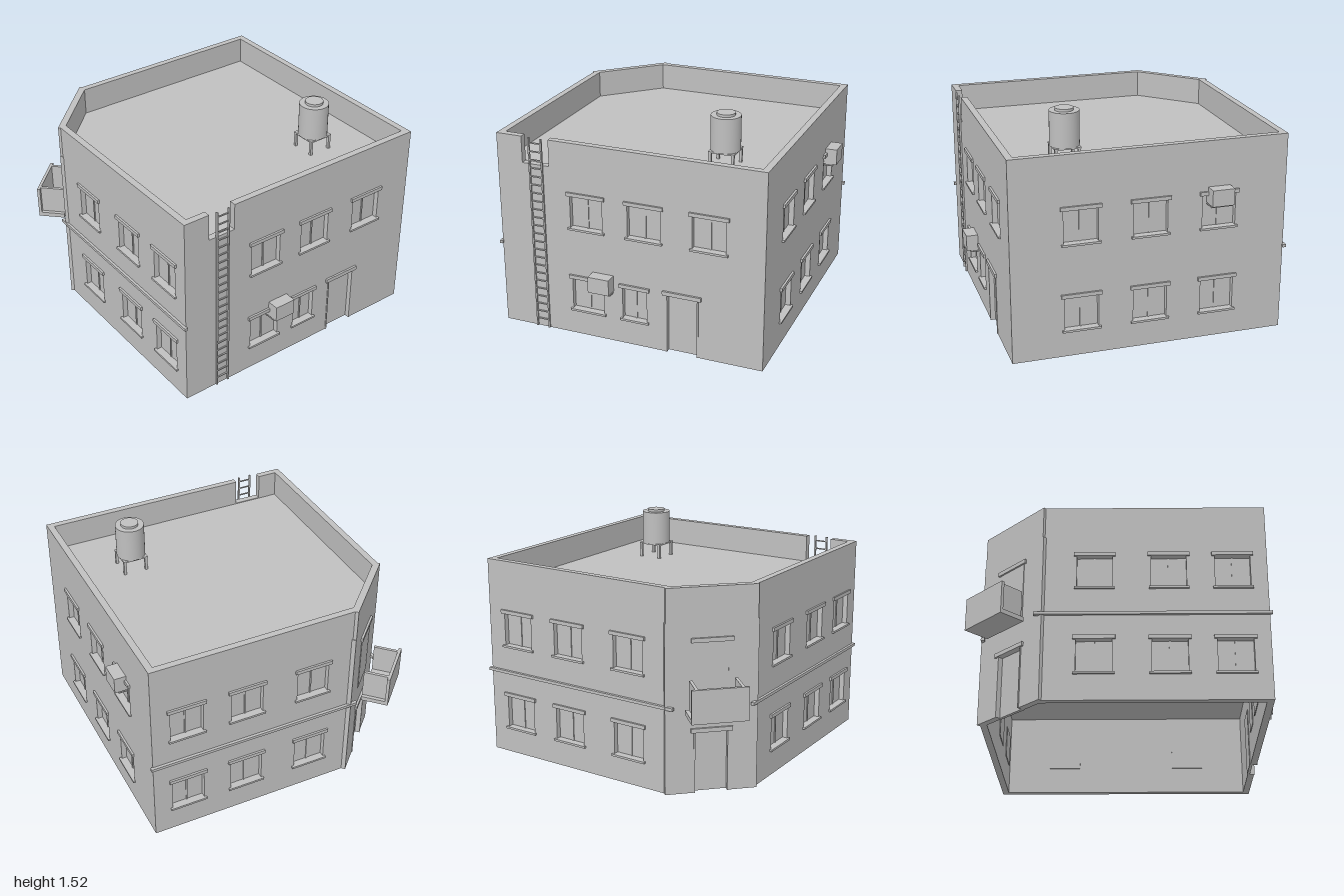
import * as THREE from 'three';

const grey = new THREE.MeshStandardMaterial({ color: 0xc0c0c0 });
grey.name = 'concreteGrey';

const TOP = 1.35, ROOF = 1.165, FLOOR = 0.59, THICK = 0.045;

function add(parent, name, geometry) {
  const mesh = new THREE.Mesh(geometry, grey);
  mesh.name = name;
  parent.add(mesh);
  return mesh;
}

// Box given by its limits on each axis
function box(parent, name, x0, x1, y0, y1, z0, z1) {
  const g = new THREE.BoxGeometry(x1 - x0, y1 - y0, z1 - z0);
  g.translate((x0 + x1) / 2, (y0 + y1) / 2, (z0 + z1) / 2);
  return add(parent, name, g);
}

// Wall frame: local x runs along the wall, local z points outwards, the outer face is z = 0
function wallFrame(root, name, x, z, angle) {
  const g = new THREE.Group();
  g.name = name;
  g.position.set(x, 0, z);
  g.rotation.y = angle;
  root.add(g);
  return g;
}

// Wall with window holes, door cuts from the ground and an optional gap in the parapet
function wall(parent, x0, x1, windows, doors = [], gap = null) {
  const pts = [[x0, 0]];
  for (const [a, b, , top] of doors) pts.push([a, 0], [a, top], [b, top], [b, 0]);
  pts.push([x1, 0], [x1, TOP]);
  if (gap) pts.push([gap[1], TOP], [gap[1], gap[2]], [gap[0], gap[2]], [gap[0], TOP]);
  pts.push([x0, TOP]);
  const shape = new THREE.Shape(pts.map(p => new THREE.Vector2(...p)));
  for (const [a, b, c, d] of windows) {
    shape.holes.push(new THREE.Path([[a, c], [a, d], [b, d], [b, c]].map(p => new THREE.Vector2(...p))));
  }
  const geo = new THREE.ExtrudeGeometry(shape, { depth: THICK, bevelEnabled: false });
  geo.translate(0, 0, -THICK);
  add(parent, 'wall', geo);
  windows.forEach(w => windowParts(parent, w));
  doors.forEach(d => doorParts(parent, d));
}

function windowParts(parent, [a, b, c, d]) {
  const m = (a + b) / 2;
  box(parent, 'windowPane', a, b, c, d, -0.05, -0.035);
  box(parent, 'windowMullion', m - 0.005, m + 0.005, c, d, -0.035, -0.029);
  box(parent, 'windowLintel', a - 0.02, b + 0.02, d, d + 0.025, -0.01, 0.014);
  box(parent, 'windowSill', a - 0.015, b + 0.015, c - 0.014, c, -0.03, 0.016);
}

function doorParts(parent, [a, b, c, d]) {
  box(parent, 'doorLeaf', a, b, c, d, -0.05, -0.03);
  for (const x of [a, b]) box(parent, 'doorJamb', x - 0.005, x + 0.005, c, d, -0.03, 0.004);
  box(parent, 'doorLintel', a - 0.025, b + 0.025, d, d + 0.028, -0.01, 0.014);
}

// Both storeys of windows at the given centres
function twoRows(centres, w = 0.225) {
  return centres.flatMap(u => [0.185, 0.77].map(y => [u - w / 2, u + w / 2, y, y + 0.221]));
}

function airConditioner(parent, x, y) {
  const g = new THREE.Group();
  g.name = 'airConditioner';
  g.position.set(x, y, 0);
  parent.add(g);
  box(g, 'unitCase', -0.074, 0.074, 0.01, 0.12, -0.03, 0.08);
  box(g, 'unitShelf', -0.072, 0.072, -0.004, 0.002, -0.03, 0.055);
  for (const s of [-0.06, 0.06]) box(g, 'unitBracket', s - 0.005, s + 0.005, -0.002, 0.01, 0, 0.05);
}

// Horizontal slab following the footprint with its cut corner
function slab(root, name, y0, y1) {
  const pts = [[-0.88, -0.9], [0.9, -0.9], [0.9, 0.88], [-0.51, 0.88], [-0.88, 0.51]];
  const shape = new THREE.Shape(pts.map(p => new THREE.Vector2(...p)));
  const geo = new THREE.ExtrudeGeometry(shape, { depth: y1 - y0, bevelEnabled: false });
  geo.rotateX(-Math.PI / 2);
  geo.translate(0, y0, 0);
  add(root, name, geo);
}

function ladder(parent) {
  const g = new THREE.Group();
  g.name = 'ladder';
  parent.add(g);
  for (const x of [-0.675, -0.587]) box(g, 'ladderRail', x - 0.005, x + 0.005, 0, TOP, -0.002, 0.012);
  for (let i = 1; i <= 23; i++) {
    const y = i * 0.0572;
    box(g, 'ladderRung', -0.672, -0.59, y - 0.004, y + 0.004, 0.001, 0.009);
  }
}

function balcony(parent) {
  const g = new THREE.Group();
  g.name = 'balcony';
  parent.add(g);
  box(g, 'balconyFloor', -0.18, 0.18, 0.55, 0.58, 0.043, 0.226);
  box(g, 'balconyFront', -0.18, 0.18, 0.55, 0.77, 0.206, 0.226);
  for (const s of [-1, 1]) {
    const x = s * 0.145;
    box(g, 'balconySide', x - 0.01, x + 0.01, 0.57, 0.77, 0.043, 0.21);
  }
}

function waterTank(root) {
  const g = new THREE.Group();
  g.name = 'waterTank';
  g.position.set(0.48, 0, 0.445);
  root.add(g);
  const drum = (name, r, y0, y1) =>
    add(g, name, new THREE.CylinderGeometry(r, r, y1 - y0, 32)).position.y = (y0 + y1) / 2;
  drum('tankBody', 0.098, 1.27, 1.5);
  drum('tankLid', 0.06, 1.5, 1.517);
  box(g, 'tankPlatform', -0.088, 0.088, 1.26, 1.27, -0.088, 0.088);
  for (const x of [-0.077, 0.077]) for (const z of [-0.077, 0.077]) {
    box(g, 'tankLeg', x - 0.009, x + 0.009, ROOF, 1.265, z - 0.009, z + 0.009);
  }
}

export function createModel() {
  const root = new THREE.Group();
  root.name = 'cornerBuilding';

  // Front: five windows, door, ladder and its gap in the parapet
  const front = wallFrame(root, 'frontWall', 0, 0.92, 0);
  wall(front, -0.91, 0.92, [
    ...twoRows([-0.288]),
    [-0.042, 0.128, 0.185, 0.406],
    [0, 0.225, 0.77, 0.991],
    [0.44, 0.665, 0.77, 0.991],
  ], [[0.265, 0.48, 0, 0.412]], [-0.73, -0.54, 1.17]);
  airConditioner(front, -0.178, 0.357);
  ladder(front);

  // Right side
  const right = wallFrame(root, 'rightWall', 0.92, 0, Math.PI / 2);
  wall(right, -0.92, 0.906, twoRows([-0.465, -0.01, 0.447]));
  airConditioner(right, 0.445, 0.925);

  // Back and left side, each with a string course
  const back = wallFrame(root, 'backWall', 0, -0.906, Math.PI);
  wall(back, -0.92, 0.505, twoRows([-0.68, -0.262, 0.212]));
  box(back, 'stringCourse', -0.935, 0.555, 0.572, 0.592, -0.005, 0.019);

  const left = wallFrame(root, 'leftWall', -0.91, 0, -Math.PI / 2);
  wall(left, -0.505, 0.92, twoRows([-0.175, 0.295, 0.7]));
  box(left, 'stringCourse', -0.555, 0.935, 0.572, 0.592, -0.005, 0.017);

  // Cut corner: street door, balcony door and balcony
  const corner = wallFrame(root, 'cornerWall', -0.715, -0.715, -Math.PI * 0.75);
  wall(corner, -0.293, 0.293, [], [[-0.11, 0.11, 0, 0.41]]);
  for (const s of [-1, 1]) box(corner, 'cornerStrip', s * 0.294 - 0.005, s * 0.294 + 0.005, 0, 1.13, -0.035, 0);
  doorParts(corner, [-0.11, 0.11, 0.59, 1.0]);
  box(corner, 'balconyDoorLeaf', -0.105, 0.105, 0.59, 1.0, -0.01, 0.003);
  balcony(corner);

  slab(root, 'roof', ROOF - 0.04, ROOF);
  slab(root, 'upperFloor', FLOOR - 0.01, FLOOR + 0.03);
  waterTank(root);
  return root;
}
